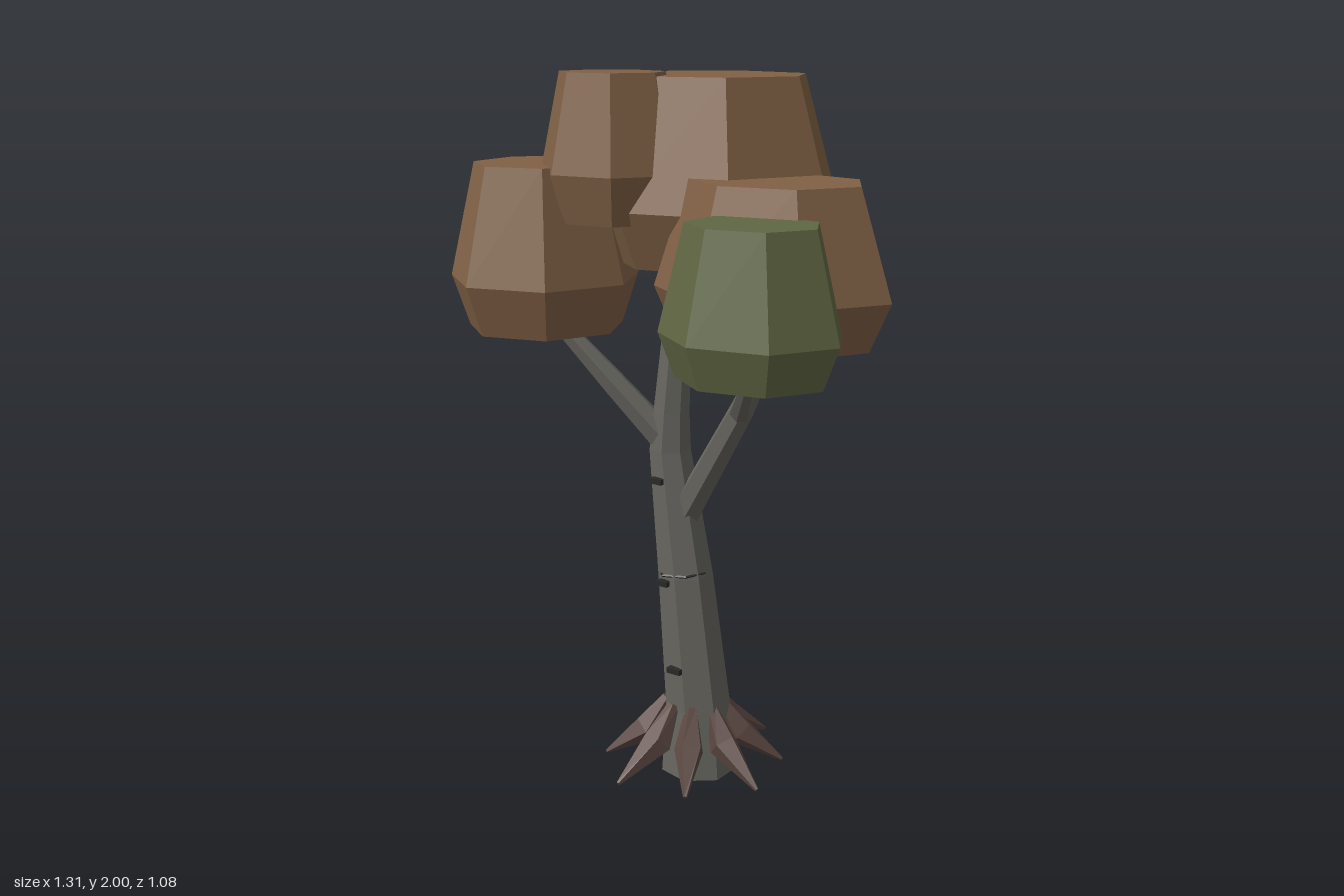
import * as THREE from 'three';

const V = (x, y, z) => new THREE.Vector3(x, y, z);

// Skin a list of equal-sized rings and cap both ends, with faceted normals
function loft(rings) {
  const pos = [];
  const tri = (...p) => p.forEach((q) => pos.push(q.x, q.y, q.z));
  const n = rings[0].length;
  const last = rings[rings.length - 1];
  for (let i = 0; i < rings.length - 1; i++) {
    for (let j = 0; j < n; j++) {
      const k = (j + 1) % n;
      const a = rings[i][j], b = rings[i][k], c = rings[i + 1][k], d = rings[i + 1][j];
      tri(a, b, c);
      tri(a, c, d);
    }
  }
  for (let j = 1; j < n - 1; j++) {
    tri(rings[0][0], rings[0][j + 1], rings[0][j]);
    tri(last[0], last[j], last[j + 1]);
  }
  const geo = new THREE.BufferGeometry();
  geo.setAttribute('position', new THREE.Float32BufferAttribute(pos, 3));
  geo.computeVertexNormals();
  return geo;
}

// Tapered limb along [x, y, z, radius] stations; level keeps the rings horizontal
function limb(stations, sides, level = false) {
  const pts = stations.map((s) => V(s[0], s[1], s[2]));
  return loft(pts.map((p, i) => {
    const t = level ? V(0, 1, 0)
      : pts[Math.min(i + 1, pts.length - 1)].clone().sub(pts[Math.max(i - 1, 0)]).normalize();
    const u = V(0, 0, 1).cross(t).normalize();
    const v = t.clone().cross(u);
    return Array.from({ length: sides }, (_, j) => {
      const a = (j / sides) * Math.PI * 2;
      return p.clone().addScaledVector(u, Math.cos(a) * stations[i][3])
        .addScaledVector(v, Math.sin(a) * stations[i][3]);
    });
  }));
}

// Seven-sided leaf clump: narrow base, wide shoulder, flat tapered top
function clump(cx, cz, rx, rz, [y0, y1, y2], phase) {
  const ring = (y, k) => Array.from({ length: 7 }, (_, j) => {
    const a = (j / 7) * Math.PI * 2 - phase;
    return V(cx + Math.cos(a) * rx * k, y, cz - Math.sin(a) * rz * k);
  });
  return loft([ring(y0, 0.82), ring(y1, 1), ring(y2, 0.72)]);
}

export function createModel() {
  const group = new THREE.Group();
  const material = (name, color) => {
    const m = new THREE.MeshStandardMaterial({ color });
    m.name = name;
    return m;
  };
  const bark = material('grey bark', 0x66655f);
  const rootBrown = material('root brown', 0x5c4843);
  const leafBrown = material('autumn brown', 0x806145);
  const leafGreen = material('olive green', 0x606743);
  const dark = material('dark bark mark', 0x2a2928);
  const add = (name, geo, mat) => {
    const mesh = new THREE.Mesh(geo, mat);
    mesh.name = name;
    group.add(mesh);
    return mesh;
  };

  // Leaning trunk
  add('trunk', limb([
    [0.013, 0, -0.006, 0.112], [0.01, 0.2, -0.006, 0.096], [-0.03, 0.6, 0, 0.08],
    [-0.083, 0.96, 0, 0.06], [-0.078, 1.07, 0, 0.052], [-0.04, 1.65, -0.02, 0.027],
  ], 7, true), bark);

  // Branches reaching into the clumps
  const branches = {
    rightLowBranch: [[-0.08, 0.97, 0, 0.045], [-0.22, 1.14, 0.07, 0.037], [-0.4, 1.36, 0.16, 0.022]],
    leftBranch: [[-0.03, 0.78, 0, 0.045], [0.18, 1.12, 0.025, 0.036], [0.32, 1.38, 0.05, 0.022]],
    leftFrontTwig: [[0.17, 1.1, 0.025, 0.03], [0.27, 1.21, 0.14, 0.022], [0.39, 1.32, 0.29, 0.014]],
    rearBranch: [[-0.08, 1.1, 0, 0.042], [-0.13, 1.28, -0.12, 0.034], [-0.21, 1.53, -0.31, 0.02]],
  };
  for (const [name, stations] of Object.entries(branches)) add(name, limb(stations, 6), bark);

  // Ring of spiky roots
  for (let i = 0; i < 8; i++) {
    const a = ((15 + i * 45) * Math.PI) / 180;
    const reach = i % 2 ? 0.26 : 0.28;
    const at = (r, y, w) => [Math.cos(a) * r, y, Math.sin(a) * r, w];
    add('root', limb([at(0.075, 0.215, 0.018), at(0.135, 0.115, 0.044), at(reach, 0.03, 0.006)], 5), rootBrown);
  }

  // Leaf clumps
  const clumps = [
    ['rightClump', -0.405, 0.145, 0.268, 0.272, [1.3, 1.44, 1.755], -0.04],
    ['leftClump', 0.304, 0.063, 0.338, 0.27, [1.33, 1.46, 1.74], 0],
    ['rearCentreClump', -0.013, -0.12, 0.366, 0.343, [1.49, 1.645, 1.99], 0],
    ['frontTopClump', -0.187, 0.11, 0.209, 0.19, [1.61, 1.74, 2], 0.08],
    ['rearRightClump', -0.26, -0.315, 0.256, 0.231, [1.49, 1.62, 1.905], 0],
  ];
  for (const [name, ...args] of clumps) add(name, clump(...args), leafBrown);
  add('greenClump', clump(0.415, 0.338, 0.243, 0.208, [1.29, 1.4, 1.67], 0), leafGreen);

  // Small bark scars on the front of the trunk
  for (const [x, y, z, w] of [[-0.08, 0.88, 0.066, 0.04], [-0.05, 0.585, 0.079, 0.035], [-0.005, 0.33, 0.087, 0.045]]) {
    add('barkScar', new THREE.BoxGeometry(w, 0.016, 0.02), dark).position.set(x, y, z);
  }

  // Thin crack wrapped around the front of the trunk
  const crack = add('barkCrack', limb([
    [-0.108, 0.602, 0.024, 0.003], [-0.05, 0.608, 0.081, 0.004],
    [0.02, 0.613, 0.066, 0.004], [0.048, 0.616, 0.01, 0.003],
  ], 4), dark);
  crack.position.x = -0.001;

  return group;
}
